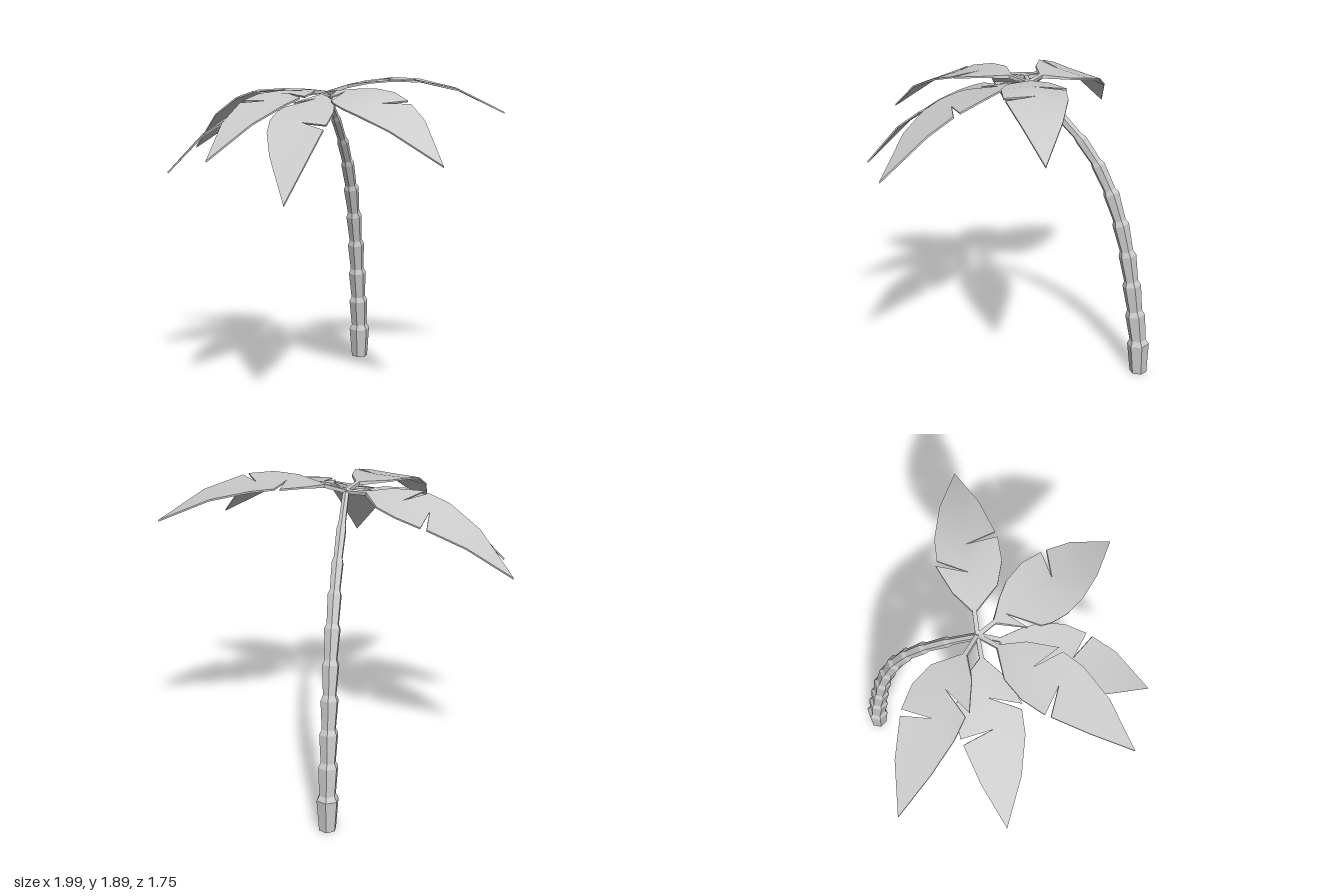
import * as THREE from 'three';
import { toCreasedNormals } from 'three/addons/utils/BufferGeometryUtils.js';

const CROWN = new THREE.Vector3(-0.025, 1.8, -0.11);
const BOW = 0.135;

// Blade halves: [position on midrib, outer edge along, outer edge across].
// A repeated midrib position leaves an open notch.
const BLADES = {
  even: {
    length: 1.076,
    near: [[0, 0, 0.012], [0.12, 0.12, 0.012], [0.2, 0.243, 0.142], [0.33, 0.376, 0.185],
      [0.5, 0.525, 0.181], [0.5, 0.559, 0.171], [0.76, 0.79, 0.109], [1.076, 1.076, 0]],
    far: [[0, 0, 0.012], [0.12, 0.12, 0.012], [0.2, 0.228, 0.105], [0.33, 0.389, 0.178],
      [0.33, 0.418, 0.169], [0.5, 0.554, 0.167], [0.76, 0.779, 0.115], [1.076, 1.076, 0]],
  },
  wide: {
    length: 1.12,
    near: [[0, 0, 0.012], [0.11, 0.11, 0.012], [0.18, 0.225, 0.134], [0.18, 0.292, 0.172],
      [0.3, 0.35, 0.195], [0.42, 0.46, 0.208], [0.526, 0.6, 0.19], [0.8, 0.8, 0.13], [1.12, 1.12, 0]],
    far: [[0, 0, 0.012], [0.11, 0.11, 0.012], [0.18, 0.212, 0.09], [0.3, 0.3, 0.14],
      [0.42, 0.44, 0.17], [0.526, 0.582, 0.158], [0.526, 0.623, 0.15], [0.8, 0.8, 0.115], [1.12, 1.12, 0]],
  },
};

// Thin bowed slab, x along the midrib and z across
function leafGeometry({ length, near, far }) {
  const pos = [];
  const point = (u, v, level) => {
    const t = u / length;
    const half = u < 0.15 ? 0.011 : 0.005;
    return [u, BOW * 4 * t * (1 - t) + level * half, v];
  };
  const quad = (a, b, c, d, flip) => {
    const q = flip ? [a, d, c, b] : [a, b, c, d];
    for (const i of [0, 1, 2, 0, 2, 3]) pos.push(...q[i]);
  };
  for (const [half, side] of [[near, 1], [far, -1]]) {
    const flip = side < 0;
    for (let i = 0; i < half.length - 1; i++) {
      const [s0, u0, v0] = half[i];
      const [s1, u1, v1] = half[i + 1];
      const rib0 = (l) => point(s0, 0, l), rib1 = (l) => point(s1, 0, l);
      const edge0 = (l) => point(u0, v0 * side, l), edge1 = (l) => point(u1, v1 * side, l);
      if (s0 === s1) { // the two walls of a notch
        quad(edge0(1), edge0(-1), rib0(-1), rib0(1), flip);
        quad(rib1(1), rib1(-1), edge1(-1), edge1(1), flip);
        continue;
      }
      quad(rib0(1), edge0(1), edge1(1), rib1(1), flip);
      quad(rib0(-1), rib1(-1), edge1(-1), edge0(-1), flip);
      quad(edge0(1), edge0(-1), edge1(-1), edge1(1), flip);
    }
  }
  const geo = new THREE.BufferGeometry();
  geo.setAttribute('position', new THREE.Float32BufferAttribute(pos, 3));
  return toCreasedNormals(geo, 0.6);
}

// Six-sided trunk: every segment widens upward, then steps in
function trunkGeometry() {
  // Height, z and radius at the foot and at each ridge
  const ridges = [[0, -0.815, 0.052], [0.19, -0.808, 0.067], [0.385, -0.783, 0.061],
    [0.58, -0.755, 0.057], [0.775, -0.722, 0.054], [0.97, -0.675, 0.051], [1.16, -0.612, 0.049],
    [1.33, -0.53, 0.042], [1.48, -0.425, 0.036], [1.63, -0.285, 0.03], [1.79, -0.115, 0.02]];
  const rings = [];
  ridges.forEach(([y, z, r], i) => {
    const [py, pz] = ridges[Math.max(i - 1, 0)];
    const [ny, nz] = ridges[Math.min(i + 1, ridges.length - 1)];
    const tangent = new THREE.Vector2(nz - pz, ny - py).normalize();
    if (i === 0) tangent.set(0, 1);
    rings.push({ y, z, r, tangent });
    if (i > 0 && i < ridges.length - 1) {
      const k = 0.15;
      rings.push({ y: y + (ny - y) * k, z: z + (nz - z) * k, r: r * 0.75, tangent });
    }
  });
  const rows = rings.length - 1;
  const geo = new THREE.CylinderGeometry(1, 1, 1, 6, rows);
  const p = geo.attributes.position;
  for (let i = 0; i < p.count; i++) {
    const { y, z, r, tangent } = rings[Math.round((p.getY(i) + 0.5) * rows)];
    const across = p.getZ(i) * r;
    p.setXYZ(i, CROWN.x + p.getX(i) * r, y - across * tangent.x, z + across * tangent.y);
  }
  geo.computeVertexNormals();
  return geo;
}

export function createModel() {
  const model = new THREE.Group();
  model.name = 'palmTree';

  const bark = new THREE.MeshStandardMaterial({ color: 0xcccccc, flatShading: true });
  const foliage = new THREE.MeshStandardMaterial({ color: 0xcccccc, side: THREE.DoubleSide });

  const trunk = new THREE.Mesh(trunkGeometry(), bark);
  trunk.name = 'trunk';
  model.add(trunk);

  // Leaves aimed from the crown at their tips: name, blade, tip, roll in degrees
  const shapes = { even: leafGeometry(BLADES.even), wide: leafGeometry(BLADES.wide) };
  const leaves = [
    ['leafBackLeft', 'even', [0.99, 1.68, -0.44], 0],
    ['leafBackRight', 'even', [-1, 1.42, -0.37], 10],
    ['leafSideRight', 'even', [-0.93, 1.32, 0.22], 0],
    ['leafFrontRight', 'even', [-0.41, 1.47, 0.84], 0],
    ['leafFront', 'wide', [0.05, 1.25, 0.87], 8],
    ['leafFrontLeft', 'wide', [0.84, 1.45, 0.51], 12],
  ];
  for (const [name, blade, tip, roll] of leaves) {
    const d = new THREE.Vector3(...tip).sub(CROWN);
    const leaf = new THREE.Mesh(shapes[blade], foliage);
    leaf.name = name;
    leaf.position.copy(CROWN);
    leaf.rotation.set(THREE.MathUtils.degToRad(roll), Math.atan2(-d.z, d.x),
      Math.atan2(d.y, Math.hypot(d.x, d.z)), 'YZX');
    leaf.scale.setScalar(d.length() / BLADES[blade].length);
    model.add(leaf);
  }
  return model;
}
